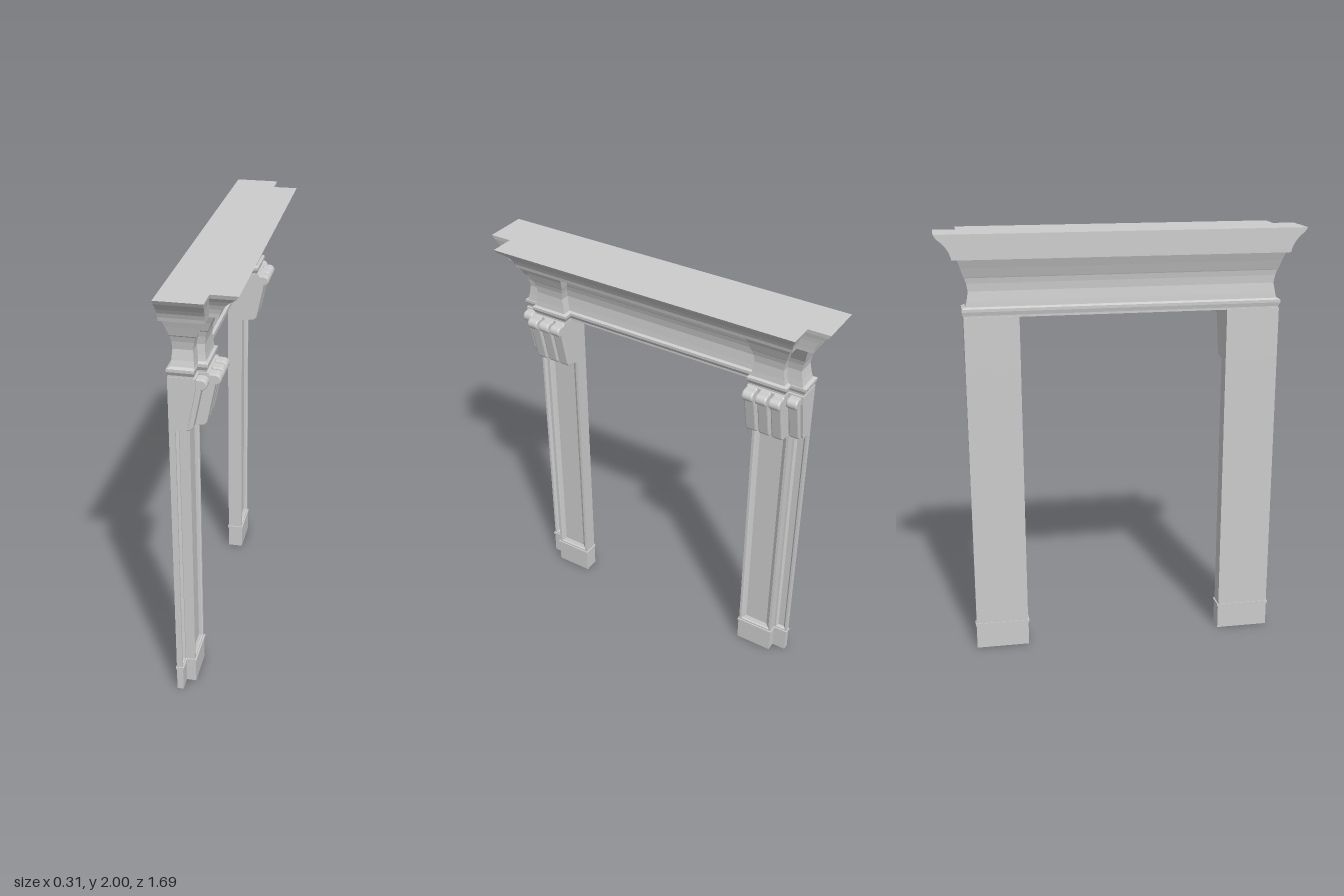
import * as THREE from 'three';

const material = new THREE.MeshStandardMaterial({ color: 0xcccccc });

function add(parent, name, geometry) {
  const mesh = new THREE.Mesh(geometry, material);
  mesh.name = name;
  parent.add(mesh);
  return mesh;
}

// Faceted skin through matching rings, closed by caps; flat() projects a ring to 2D
function loft(rings, flat) {
  const pos = [];
  const tri = (...pts) => pts.forEach((p) => pos.push(p.x, p.y, p.z));
  for (let k = 0; k < rings.length - 1; k++) {
    const a = rings[k], b = rings[k + 1];
    for (let i = 0; i < a.length; i++) {
      const j = (i + 1) % a.length;
      tri(a[i], a[j], b[j]);
      tri(a[i], b[j], b[i]);
    }
  }
  const first = rings[0], last = rings[rings.length - 1];
  for (const [i, j, k] of THREE.ShapeUtils.triangulateShape(first.map(flat), [])) tri(first[i], first[k], first[j]);
  for (const [i, j, k] of THREE.ShapeUtils.triangulateShape(last.map(flat), [])) tri(last[i], last[j], last[k]);
  const geometry = new THREE.BufferGeometry();
  geometry.setAttribute('position', new THREE.Float32BufferAttribute(pos, 3));
  geometry.computeVertexNormals();
  return geometry;
}

// Stepped plan of the entablature at one height:
// back, end front, pilaster front, centre front, then end, pilaster outer and inner z
function plan([y, back, xEnd, xPil, xMid, zEnd, zOut, zIn]) {
  const half = [[back, zEnd], [xEnd, zEnd], [xEnd, zOut], [xPil, zOut], [xPil, zIn], [xMid, zIn]];
  const other = half.map(([x, z]) => [x, -z]).reverse();
  return [...half, ...other].map(([x, z]) => new THREE.Vector3(x, y, z));
}
const entablature = (levels) => loft(levels.map(plan), (p) => new THREE.Vector2(p.x, -p.z));

// Upright slab with a bevelled sunken panel on its +x face
function panelledSlab(xBack, xFront, width, y0, y1, rim, bevel, depth) {
  const ring = (x, d, dy) => [[1, y0 + dy], [-1, y0 + dy], [-1, y1 - dy], [1, y1 - dy]]
    .map(([s, y]) => new THREE.Vector3(x, y, s * (width / 2 - d)));
  return loft([
    ring(xBack, 0, 0), ring(xFront, 0, 0), ring(xFront, rim, rim),
    ring(xFront - depth * 0.4, rim + bevel * 0.2, rim + bevel * 0.2),
    ring(xFront - depth, rim + bevel, rim + bevel),
  ], (p) => new THREE.Vector2(-p.z, p.y));
}

// Side outline of a scrolled bracket, pushed forward by dx
function bracketShape(dx, scroll) {
  const s = new THREE.Shape();
  s.moveTo(-0.142, 1.63);
  s.lineTo(-0.142, 1.39);
  s.lineTo(-0.11, 1.39);
  s.lineTo(-0.03 + dx, 1.385);
  s.absarc(-0.02 + dx, 1.41, 0.025, -Math.PI / 2, -0.2, false);
  if (scroll) {
    s.lineTo(0.04 + dx, 1.575);
    s.absarc(0.04 + dx, 1.6, 0.025, -Math.PI / 2, Math.PI / 2, false);
    s.lineTo(0.02 + dx, 1.625);
    s.lineTo(0.015 + dx, 1.63);
  } else {
    s.lineTo(0.04 + dx, 1.59);
    s.lineTo(0.04 + dx, 1.63);
  }
  return s;
}

function bracketSlice(dx, width, scroll) {
  const bevel = scroll ? 0.006 : 0;
  const geometry = new THREE.ExtrudeGeometry(bracketShape(dx, scroll), {
    depth: width - 2 * bevel, curveSegments: 8, bevelEnabled: scroll,
    bevelSize: bevel, bevelThickness: bevel, bevelOffset: -bevel, bevelSegments: 2,
  });
  return geometry.translate(0, 0, -width / 2 + bevel);
}

function block(parent, name, x0, x1, y0, y1, z, width) {
  const mesh = add(parent, name, new THREE.BoxGeometry(x1 - x0, y1 - y0, width));
  mesh.position.set((x0 + x1) / 2, (y0 + y1) / 2, z);
}

function pilaster(side) {
  const group = new THREE.Group();
  group.name = side > 0 ? 'leftPilaster' : 'rightPilaster';
  const zMain = side * 0.57, zEdge = side * 0.694;

  // Plinth with a thin moulding
  block(group, 'plinth', -0.142, -0.067, 0, 0.12, zMain, 0.184);
  block(group, 'plinthReturn', -0.142, -0.112, 0, 0.12, zEdge, 0.072);
  block(group, 'plinthMoulding', -0.145, -0.063, 0.117, 0.129, zMain, 0.192);
  block(group, 'plinthReturnMoulding', -0.145, -0.108, 0.117, 0.129, zEdge, 0.08);

  // Panelled shaft and its narrow set-back edge
  add(group, 'shaft', panelledSlab(-0.142, -0.07, 0.18, 0.125, 1.4, 0.012, 0.02, 0.016)).position.z = zMain;
  add(group, 'shaftReturn', panelledSlab(-0.142, -0.115, 0.07, 0.125, 1.4, 0.01, 0.01, 0.012)).position.z = zEdge;

  // Bracket: recessed core with three scrolled ribs, one more on the edge
  add(group, 'bracketCore', bracketSlice(-0.025, 0.18, false)).position.z = zMain;
  for (const d of [-0.064, 0, 0.064]) {
    add(group, 'bracketRib', bracketSlice(0, 0.052, true)).position.z = zMain + d;
  }
  add(group, 'bracketReturnCore', bracketSlice(-0.065, 0.07, false)).position.z = zEdge;
  add(group, 'bracketReturnRib', bracketSlice(-0.045, 0.05, true)).position.z = zEdge;
  return group;
}

export function createModel() {
  const model = new THREE.Group();
  model.name = 'doorSurround';
  model.add(pilaster(1), pilaster(-1));

  // Architrave band resting on the brackets
  add(model, 'architrave', entablature([
    [1.628, -0.14, -0.035, 0.003, -0.04, 0.726, 0.656, 0.482],
    [1.638, -0.14, -0.035, 0.003, -0.04, 0.726, 0.656, 0.482],
    [1.655, -0.144, -0.028, 0.012, -0.03, 0.735, 0.664, 0.474],
    [1.668, -0.144, -0.028, 0.012, -0.03, 0.735, 0.664, 0.474],
    [1.675, -0.13, -0.035, 0.003, -0.04, 0.722, 0.652, 0.486],
  ]));

  // Swelling frieze, broken forward over the pilasters
  add(model, 'frieze', entablature([
    [1.67, -0.128, -0.03, 0.002, -0.04, 0.72, 0.65, 0.487],
    [1.7, -0.126, -0.034, -0.002, -0.044, 0.712, 0.644, 0.492],
    [1.745, -0.122, -0.038, -0.005, -0.048, 0.704, 0.638, 0.5],
    [1.78, -0.124, -0.032, 0, -0.042, 0.71, 0.643, 0.495],
    [1.805, -0.128, -0.024, 0.008, -0.034, 0.718, 0.65, 0.489],
    [1.81, -0.13, -0.02, 0.012, -0.03, 0.722, 0.655, 0.485],
    [1.85, -0.143, 0.002, 0.028, -0.015, 0.734, 0.668, 0.477],
    [1.892, -0.158, 0.025, 0.05, 0.005, 0.748, 0.685, 0.465],
  ]));

  // Coved cornice, straight across the front
  add(model, 'cornice', entablature([
    [1.888, -0.16, 0.026, 0.066, 0.066, 0.77, 0.697, 0.46],
    [1.905, -0.16, 0.027, 0.07, 0.07, 0.774, 0.699, 0.46],
    [1.925, -0.16, 0.029, 0.08, 0.08, 0.782, 0.704, 0.46],
    [1.945, -0.16, 0.031, 0.096, 0.096, 0.795, 0.712, 0.46],
    [1.965, -0.16, 0.034, 0.118, 0.118, 0.814, 0.724, 0.46],
    [1.982, -0.16, 0.038, 0.142, 0.142, 0.834, 0.737, 0.46],
    [2, -0.16, 0.04, 0.155, 0.155, 0.845, 0.743, 0.46],
  ]));
  return model;
}
